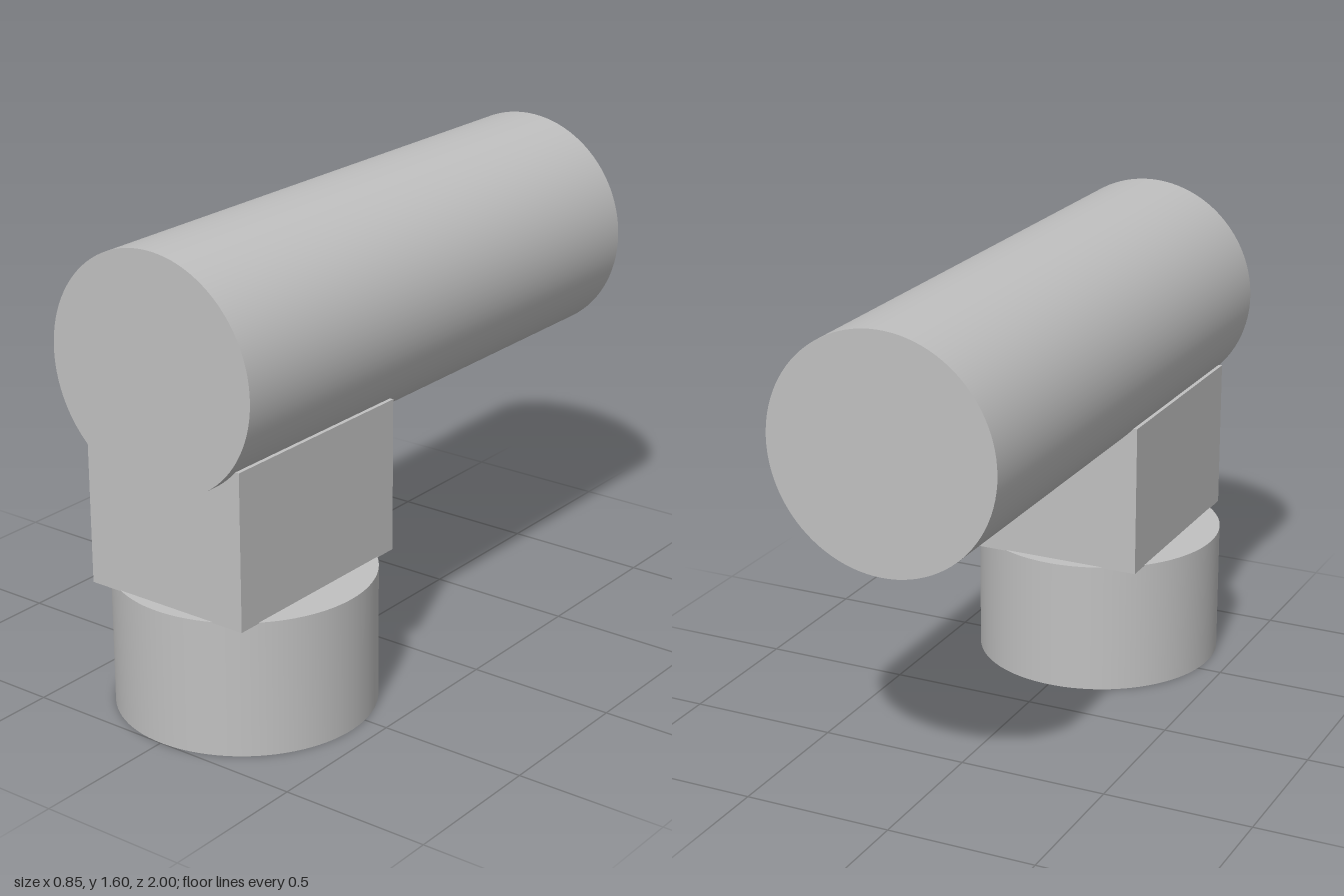
import * as THREE from 'three';

export function createModel() {
  const group = new THREE.Group();
  const grey = new THREE.MeshStandardMaterial({ color: 0xc0c0c0 });
  grey.name = 'light grey';

  const add = (name, geometry, x, y, z) => {
    const mesh = new THREE.Mesh(geometry, grey);
    mesh.name = name;
    mesh.position.set(x, y, z);
    group.add(mesh);
    return mesh;
  };

  const baseZ = 0.577;
  const baseHeight = 0.453;
  const blockTop = 0.965;
  const blockBottom = 0.45;

  // Round foot
  add('base', new THREE.CylinderGeometry(0.423, 0.423, baseHeight, 96), 0, baseHeight / 2, baseZ);

  // Square neck, its corners overhanging the foot
  add('neckBlock', new THREE.BoxGeometry(0.598, blockTop - blockBottom, 0.76),
    0, (blockTop + blockBottom) / 2, baseZ);

  // Long horizontal barrel
  const barrel = new THREE.CylinderGeometry(0.381, 0.381, 2, 96);
  barrel.rotateX(Math.PI / 2);
  add('barrel', barrel, 0, 1.217, 0);

  return group;
}
